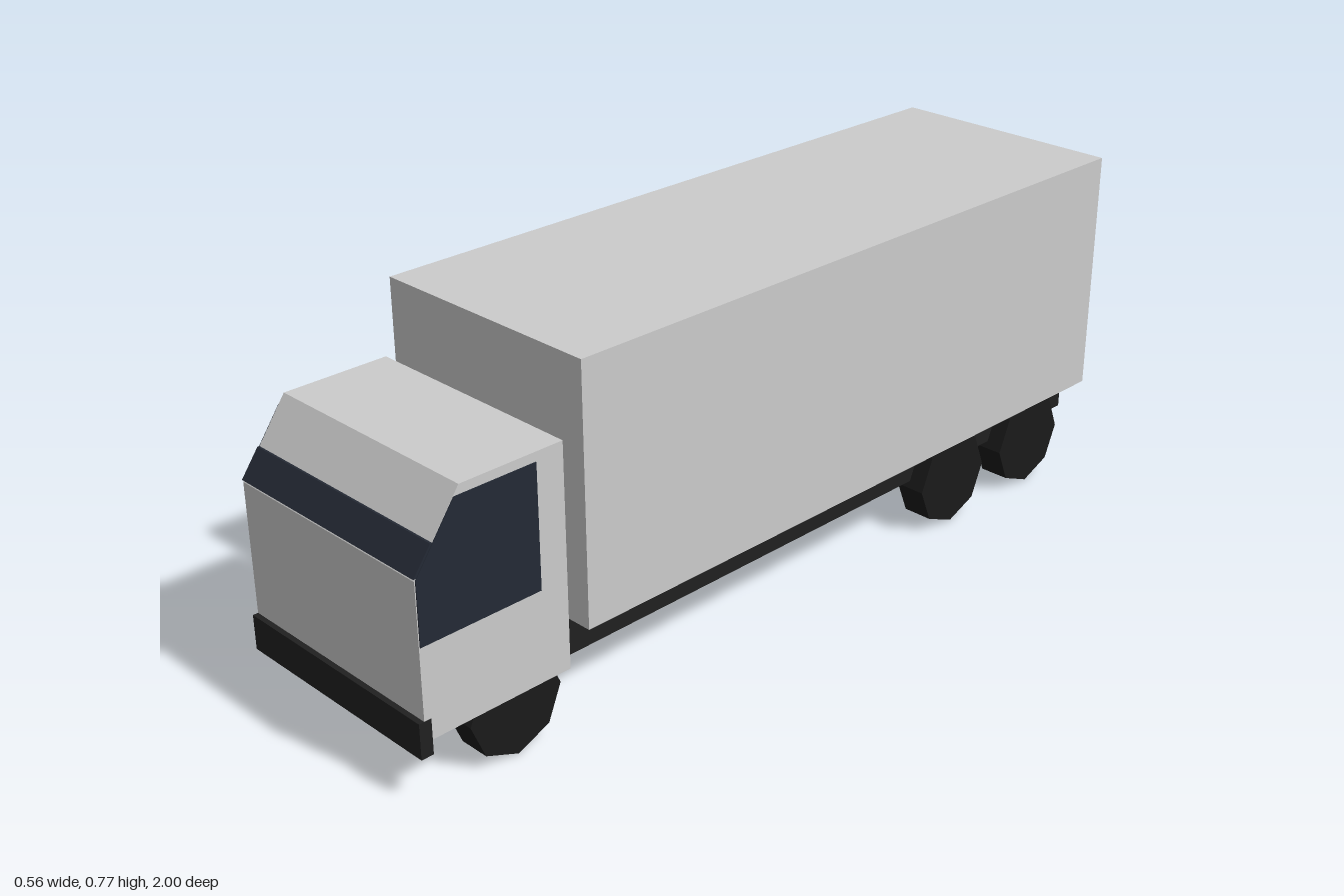
import * as THREE from 'three';

const paint = new THREE.MeshStandardMaterial({ color: 0xcccccc, flatShading: true });
const glass = new THREE.MeshStandardMaterial({ color: 0x242a35, flatShading: true });
const frame = new THREE.MeshStandardMaterial({ color: 0x202020, flatShading: true });
const rubber = new THREE.MeshStandardMaterial({ color: 0x1a1a1a, flatShading: true });

export function createModel() {
  const truck = new THREE.Group();
  truck.name = 'boxTruck';

  const add = (name, geometry, material, x = 0, y = 0, z = 0) => {
    const mesh = new THREE.Mesh(geometry, material);
    mesh.name = name;
    mesh.position.set(x, y, z);
    truck.add(mesh);
    return mesh;
  };

  // Box given by its width and its y and z limits
  const block = (name, material, width, y0, y1, z0, z1) =>
    add(name, new THREE.BoxGeometry(width, y1 - y0, z1 - z0), material, 0, (y0 + y1) / 2, (z0 + z1) / 2);

  // Side profile of [z, y] points, extruded across x and centred
  const profile = (points, width) => {
    const shape = new THREE.Shape(points.map(([z, y]) => new THREE.Vector2(z, y)));
    return new THREE.ExtrudeGeometry(shape, { depth: width, bevelEnabled: false })
      .translate(0, 0, -width / 2)
      .rotateY(-Math.PI / 2);
  };

  // Cargo body, chassis and bumper
  block('cargoBox', paint, 0.564, 0.21, 0.775, -1, 0.605);
  block('chassis', frame, 0.44, 0.125, 0.21, -0.998, 0.98);
  block('bumper', frame, 0.53, 0.1, 0.178, 0.972, 1);

  // Cab with a sloped upper front
  add('cab', profile([[0.64, 0.132], [0.988, 0.132], [0.988, 0.468], [0.88, 0.62], [0.64, 0.62]], 0.53), paint);

  // Windscreen strip on the slope
  add('windscreen', profile([[0.98, 0.473], [0.99, 0.473], [0.949, 0.529], [0.94, 0.529]], 0.531), glass);

  // Side windows
  const pane = [[0.705, 0.333], [0.986, 0.333], [0.986, 0.47], [0.893, 0.6], [0.705, 0.6]];
  for (const side of [1, -1]) {
    add(side > 0 ? 'leftWindow' : 'rightWindow', profile(pane, 0.006), glass, side * 0.264);
  }

  // Eight-sided wheels on three axles, one corner pointing down
  const tyre = new THREE.CylinderGeometry(0.11, 0.11, 0.07, 8).rotateZ(Math.PI / 2);
  const axles = { front: 0.773, middle: -0.533, rear: -0.82 };
  for (const [axle, z] of Object.entries(axles)) {
    for (const side of [1, -1]) {
      add(`${axle}${side > 0 ? 'Left' : 'Right'}Wheel`, tyre, rubber, side * 0.226, 0.11, z);
    }
  }

  return truck;
}
